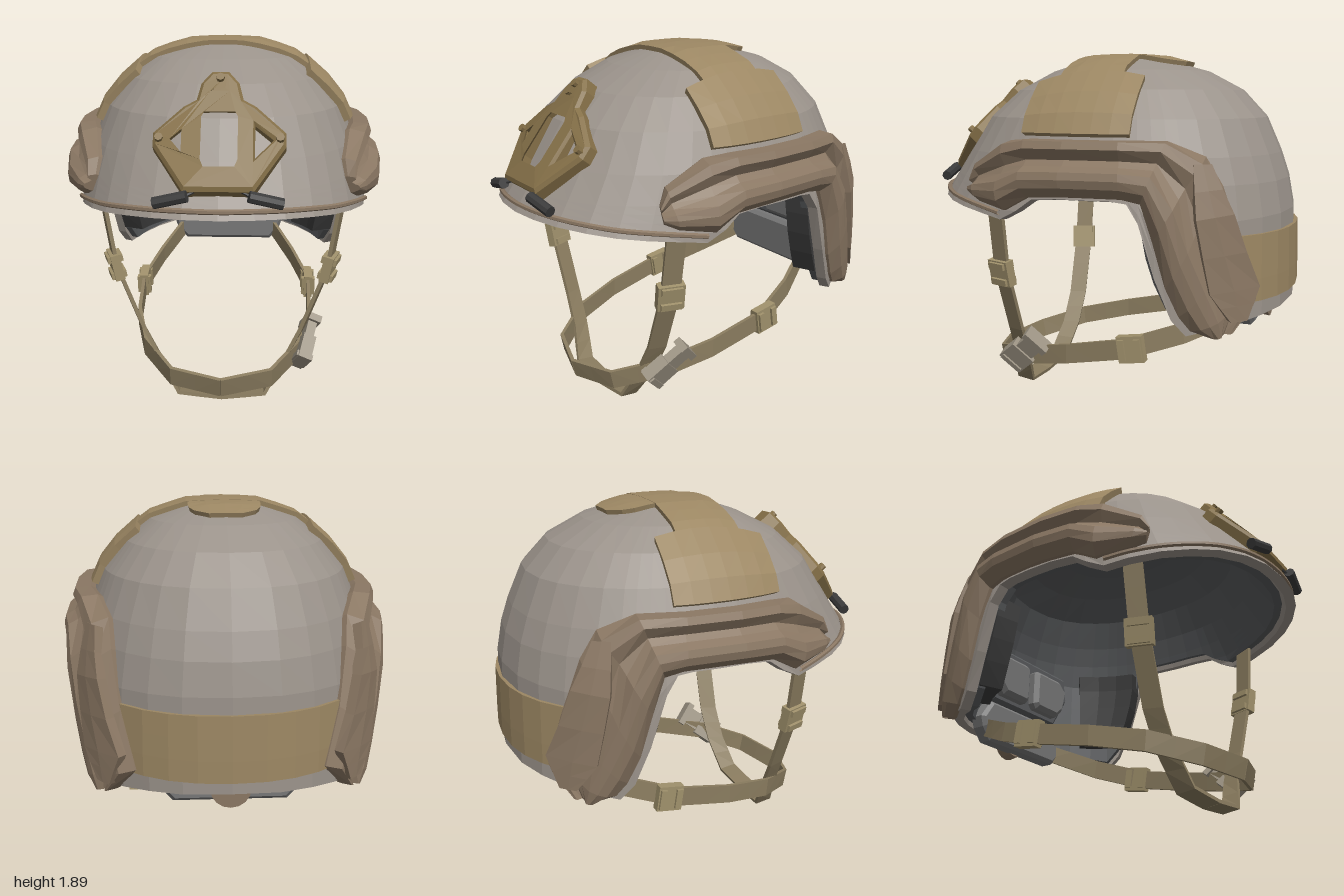
import * as THREE from 'three';

const C = { shell: 0x9b938b, velcro: 0x9c8763, rail: 0x8a7763, strap: 0x8b7d60, mount: 0x857048,
  dark: 0x3b3b3b, liner: 0x585a5c, pad: 0x777777, buckle: 0x9d9484, clip: 0xa0916c };
const N = 2.22, ZC = -0.05;
// dome levels: height, half width, front z, back z
const LEVELS = [[1.875, 0, -.05, -.05], [1.86, .22, .17, -.28], [1.8, .39, .35, -.5], [1.7, .52, .55, -.69],
  [1.56, .635, .71, -.82], [1.38, .71, .83, -.9], [1.25, .745, .92, -.945], [1.1, .78, 1.025, -.975], [.8, .79, 1.03, -.985], [.4, .79, 1.03, -.99]];
// rim height from brow (1) over the ear cut to the nape (-1)
const RIM = [[1, 1.145], [.985, 1.145], [.94, 1.14], [.86, 1.13], [.76, 1.115], [.64, 1.1], [.5, 1.08], [.39, 1.06], [.3, 1.11],
  [.23, 1.17], [.1, 1.18], [-.05, 1.18], [-.2, 1.18], [-.28, 1.17], [-.34, 1.08], [-.42, .82], [-.5, .62], [-.57, .54],
  [-.68, .56], [-.8, .58], [-.9, .6], [-.97, .61], [-1, .62]];

const mat = (color) => new THREE.MeshStandardMaterial({ color, flatShading: true, side: THREE.DoubleSide });
const lerp = THREE.MathUtils.lerp;
const vec = (x, y, z) => new THREE.Vector3(x, y, z);

// linear sample of a table of rows at t in 0..1
function sample(rows, t) {
  const k = Math.min(t * (rows.length - 1), rows.length - 1.0001), i = Math.floor(k);
  return rows[i].map((a, j) => lerp(a, rows[i + 1][j], k - i));
}
function level(y) {
  let i = 0;
  while (i < LEVELS.length - 2 && y < LEVELS[i + 1][0]) i++;
  const [A, B] = [LEVELS[i], LEVELS[i + 1]];
  const t = THREE.MathUtils.clamp((A[0] - y) / (A[0] - B[0]), 0, 1);
  return A.map((a, j) => lerp(a, B[j], t));
}
// push a surface point out along the dome's approximate normal
function lift(p, off) {
  const n = vec(p.x / .61, Math.max(0, p.y - 1) / .8, p.z + .02).normalize();
  return p.addScaledVector(n, off);
}
const width = (s) => Math.pow(Math.max(0, 1 - Math.pow(Math.abs(s), N)), 1 / N);
function onDome(s, y, side, off) {
  const [, a, f, b] = level(y);
  return lift(vec(side * a * width(s), y, ZC + s * (s > 0 ? f - ZC : ZC - b)), off);
}
function onSide(z, y, side, off) {
  const [, , f, b] = level(y);
  return onDome((z - ZC) / (z > ZC ? f - ZC : ZC - b), y, side, off);
}
function onTop(x, z, off) {
  let lo = .6, hi = 1.875;
  for (let k = 0; k < 30; k++) {
    const y = (lo + hi) / 2, [, a, f, b] = level(y);
    const r = Math.pow(Math.abs(x) / (a + 1e-6), N) + Math.pow(Math.abs(z - ZC) / ((z > ZC ? f - ZC : ZC - b) + 1e-6), N);
    if (r > 1) hi = y; else lo = y;
  }
  return lift(vec(x, lo, z), off);
}

// closed curved plate between two offsets of fn(u, v, off)
function slab(name, color, fn, U, V, o0, o1) {
  const tri = [], P = (i, j, o) => fn(i / U, j / V, o);
  const quad = (a, b, c, d) => tri.push([a, b, c], [a, c, d]);
  for (let i = 0; i < U; i++) for (let j = 0; j < V; j++) {
    quad(P(i, j, o1), P(i + 1, j, o1), P(i + 1, j + 1, o1), P(i, j + 1, o1));
    quad(P(i, j, o0), P(i, j + 1, o0), P(i + 1, j + 1, o0), P(i + 1, j, o0));
  }
  for (let i = 0; i < U; i++) {
    quad(P(i, 0, o0), P(i + 1, 0, o0), P(i + 1, 0, o1), P(i, 0, o1));
    quad(P(i, V, o1), P(i + 1, V, o1), P(i + 1, V, o0), P(i, V, o0));
  }
  for (let j = 0; j < V; j++) {
    quad(P(0, j, o1), P(0, j + 1, o1), P(0, j + 1, o0), P(0, j, o0));
    quad(P(U, j, o0), P(U, j + 1, o0), P(U, j + 1, o1), P(U, j, o1));
  }
  const volume = tri.reduce((s, [a, b, c]) => s + a.dot(b.clone().cross(c)), 0);
  if (volume < 0) tri.forEach((t) => t.reverse());
  const g = new THREE.BufferGeometry().setFromPoints(tri.flat());
  g.computeVertexNormals();
  return mesh(name, color, g);
}
function mesh(name, color, geo, pos = [0, 0, 0], rot = [0, 0, 0]) {
  const m = new THREE.Mesh(geo, mat(color));
  m.name = name;
  m.position.set(...pos);
  m.rotation.set(...rot);
  return m;
}
// symmetric outline from its +x half
const outline = (half) => [...half, ...half.slice().reverse().map(([x, y]) => [-x, y])].map(([x, y]) => new THREE.Vector2(x, y));
const plate = (pts, depth, bevel, holes = []) => {
  const s = new THREE.Shape(pts);
  s.holes = holes.map((h) => new THREE.Path(h));
  return new THREE.ExtrudeGeometry(s, { depth, bevelSize: bevel, bevelThickness: bevel, bevelOffset: -bevel, bevelSegments: 1 });
};

export function createModel() {
  const root = new THREE.Group();
  const add = (...m) => root.add(...m);

  // shell and liner
  const cols = [...RIM.map(([s, y]) => [s, y, 1]), ...RIM.slice(0, -1).reverse().map(([s, y]) => [s, y, -1])];
  const dome = (raise) => (u, v, off) => {
    const [s, rim, side] = cols[Math.round(u * (cols.length - 1))], j = Math.round(v * 10);
    return onDome(s, j < 7 ? LEVELS[j][0] : lerp(1.25, rim + raise, (j - 6) / 4), side, off);
  };
  add(slab('shell', C.shell, dome(0), cols.length - 1, 10, -.055, 0));
  add(slab('liner', C.liner, dome(.03), cols.length - 1, 10, -.1, -.056));

  // brow edge trim
  const brow = RIM.slice(0, 8), edge = ([s, y], side) => onDome(s, y + .035, side, .006);
  const trim = [...brow.slice(1).reverse().map((r) => edge(r, -1)), ...brow.map((r) => edge(r, 1))];
  add(mesh('browTrim', C.rail, new THREE.TubeGeometry(new THREE.CatmullRomCurve3(trim), 60, .013, 6)));

  // fabric panels on crown and nape
  add(slab('crownStrip', C.velcro, (u, v, o) => onTop(lerp(-.47, .47, u), lerp(-.18, .16, v), o), 10, 4, -.02, .025));
  const tab = [[.18], [.18], [.175], [.15], [.08]];
  add(slab('crownTab', C.velcro, (u, v, o) => onTop(lerp(-1, 1, u) * sample(tab, v)[0], lerp(-.17, -.4, v), o), 4, 4, -.02, .024));
  add(slab('napePanel', C.velcro, (u, v, o) => {
    const a = lerp(-1, 1, u), s = -Math.pow(Math.cos(a), 2 / N);
    return onDome(s, lerp(.68, 1.01, v), Math.sign(a) || 1, o);
  }, 12, 3, -.02, .015));

  // side rail stations: top z, y, bottom z, y, thickness
  const rail = [[.56, 1.25, .56, 1.17, .5], [.52, 1.33, .5, 1.14, .65], [.33, 1.44, .33, 1.11, .9], [.2, 1.45, .2, 1.18, 1],
    [0, 1.45, 0, 1.19, 1], [-.25, 1.45, -.28, 1.19, 1], [-.46, 1.45, -.37, 1.17, 1], [-.63, 1.38, -.43, 1.0, .85],
    [-.71, 1.25, -.49, .78, .75], [-.8, .98, -.55, .64, .7], [-.86, .7, -.6, .57, .7], [-.77, .56, -.68, .53, .6]];
  const railProfile = [[.03], [.1], [.1], [.05], [.07], [.11], [.11], [.09], [.02]];
  const rearPanel = [[-.57, 1.33, -.64, 1.33], [-.6, 1.1, -.74, 1.12], [-.66, .76, -.84, .78], [-.74, .62, -.8, .62]];

  for (const side of [1, -1]) {
    add(slab('sidePanel', C.velcro, (u, v, o) => {
      const z = lerp(-.29, .27, u);
      return onSide(z, lerp(1.475, onTop(.43, z, 0).y, v), side, o);
    }, 6, 3, -.02, .035));
    add(slab('sideRail', C.rail, (u, v, o) => {
      const [z0, y0, z1, y1, k] = sample(rail, u);
      return onSide(lerp(z0, z1, v), lerp(y0, y1, v), side, o > 0 ? k * sample(railProfile, v)[0] : o);
    }, 11, 8, -.01, 1));
    add(slab('railRearPanel', C.rail, (u, v, o) => {
      const [z0, y0, z1, y1] = sample(rearPanel, u);
      return onSide(lerp(z0, z1, v), lerp(y0, y1, v), side, o);
    }, 6, 2, .04, .09));
    add(slab('earPad', C.dark, (u, v, o) => onSide(lerp(-.37 - .13 * v * v, -.75, u), lerp(1.15, .66, v), side, o), 3, 4, -.19, -.06));

    // brow clips
    add(mesh('browClip', C.dark, new THREE.CylinderGeometry(.028, .028, .16, 8), [side * .215, 1.235, .965], [0, side * .15, side * (Math.PI / 2 - .25)]));

    // straps: x, y, z, width direction
    const strap = (name, rows, w) => slab(name, C.strap, (u, v, o) => {
      const r = sample(rows, u), p = vec(r[0], r[1], r[2]), d = vec(r[3], r[4], r[5]).normalize();
      const a = sample(rows, Math.max(0, u - .02)), b = sample(rows, Math.min(1, u + .02));
      const n = vec(b[0] - a[0], b[1] - a[1], b[2] - a[2]).cross(d).normalize();
      p.addScaledVector(d, (v - .5) * w).addScaledVector(n, o);
      p.x *= side;
      return p;
    }, (rows.length - 1) * 2, 1, -.01, .01);
    add(strap('frontStrap', [[.63, 1.2, .46, -.35, 0, 1], [.56, .75, .46, -.35, 0, 1], [.43, .4, .45, -.35, 0, 1],
      [.34, .22, .46, -.3, 0, 1], [.23, .04, .5, 0, .15, 1], [0, .02, .51, 0, .15, 1]], .1));
    add(strap('chinStrap', [[.28, .6, -.8, 0, 1, 0], [.42, .47, -.5, 0, 1, .2], [.505, .38, -.22, 0, 1, .2], [.49, .31, .12, 0, 1, 0],
      [.42, .25, .4, 0, 1, .1], [.26, .185, .62, 0, 1, .2], [0, .165, .7, 0, 1, .25]], .105));

    // strap sliders
    const slider = (pos, rot) => {
      const g = new THREE.Group();
      g.name = 'strapSlider';
      g.add(mesh('sliderBody', C.clip, new THREE.BoxGeometry(.05, .14, .14)));
      for (const y of [-.045, .045]) g.add(mesh('sliderBar', C.clip, new THREE.BoxGeometry(.08, .035, .11), [0, y, 0]));
      g.position.set(...pos);
      g.rotation.set(...rot);
      add(g);
    };
    slider([side * .56, .745, .46], [0, -side * .34, -side * .2]);
    slider([side * .505, .385, -.25], [Math.PI / 2 + .15, 0, 0]);
  }

  // release buckle on the left
  const buckle = new THREE.Group();
  buckle.name = 'releaseBuckle';
  buckle.add(mesh('buckleSocket', C.buckle, new THREE.BoxGeometry(.07, .14, .15), [0, -.05, 0]));
  buckle.add(mesh('buckleTongue', C.buckle, new THREE.BoxGeometry(.05, .14, .11), [0, .06, 0]));
  buckle.add(mesh('buckleBar', C.buckle, new THREE.BoxGeometry(.08, .04, .15), [0, .13, 0]));
  buckle.add(mesh('buckleRib', C.buckle, new THREE.BoxGeometry(.09, .03, .13), [0, -.1, 0]));
  buckle.position.set(.45, .28, .4);
  buckle.rotation.set(-.85, 0, -.4, 'ZXY');
  add(buckle);

  // front accessory mount, leaned back to the brow
  const lean = (x, y) => .97 - .81 * (y - 1.3) - .6 * x * x;
  const wingHole = (k) => [[.165, 1.54], [.165, 1.41], [.25, 1.48]].map(([x, y]) => new THREE.Vector2(k * x, y));
  const mount = plate(outline([[.04, 1.77], [.09, 1.72], [.11, 1.65], [.17, 1.62], [.31, 1.505], [.31, 1.45], [.16, 1.28]]), .07, .015,
    [outline([[.08, 1.61], [.1, 1.58], [.1, 1.4], [.08, 1.36]]), outline([[.03, 1.71], [.065, 1.675]]), wingHole(1), wingHole(-1)]);
  const mp = mount.attributes.position;
  for (let i = 0; i < mp.count; i++) {
    const x = mp.getX(i), y = mp.getY(i), d = mp.getZ(i) - .085;
    mp.setXYZ(i, x, y + .63 * d, lean(x, y) + .78 * d);
  }
  mount.computeVertexNormals();
  add(mesh('frontMount', C.mount, mount));
  // feet carrying the upper mount on the shell
  add(mesh('mountFoot', C.mount, new THREE.BoxGeometry(.12, .08, .12), [0, 1.645, .575], [-.68, 0, 0]));
  for (const [x, y] of [[.28, 1.478], [-.28, 1.478], [0, 1.735]])
    add(mesh('mountBolt', C.mount, new THREE.CylinderGeometry(.02, .02, .04, 8), [x, y, lean(x, y)], [.9, 0, 0]));
  const cord = [[-.15, 1.25, .965], [-.06, 1.285, .93], [0, 1.29, .925], [.06, 1.285, .93], [.15, 1.25, .965]].map((p) => vec(...p));
  add(mesh('mountCord', C.dark, new THREE.TubeGeometry(new THREE.CatmullRomCurve3(cord), 16, .007, 5)));

  // rear fit system
  add(mesh('rearPadFrame', C.liner, plate(outline([[.38, 1.12], [.41, .97], [.28, .76]]), .06, .02), [0, 0, -.82]));
  for (const k of [1, -1]) {
    const pad = [[.025, 1.03], [.05, 1.05], [.26, 1.05], [.33, .99], [.3, .86], [.24, .8], [.05, .8], [.025, .83]];
    add(mesh('rearPad', C.pad, plate(pad.map(([x, y]) => new THREE.Vector2(k * x, y)), .05, .025), [0, 0, -.75]));
  }
  add(mesh('napePad', C.pad, plate(outline([[.29, .75], [.36, .64], [.34, .58], [.28, .51]]), .07, .02), [0, 0, -.82]));
  add(mesh('fitDial', C.rail, new THREE.CylinderGeometry(.09, .1, .07, 16), [0, .59, -.84], [Math.PI / 2, 0, 0]));
  return root;
}
